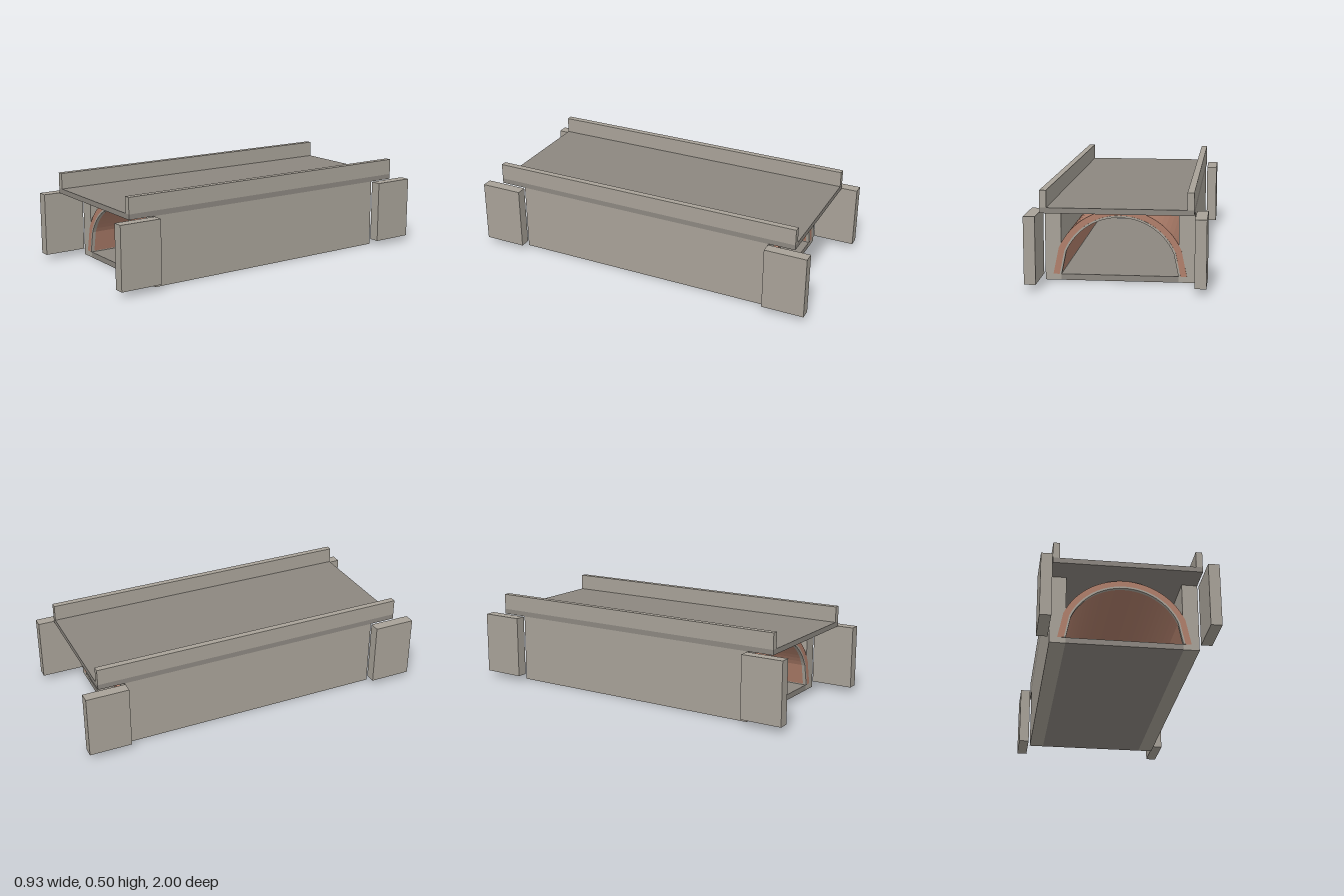
import * as THREE from 'three';

const stone = new THREE.MeshStandardMaterial({ color: 0xa8a298, flatShading: true });
const concrete = new THREE.MeshStandardMaterial({ color: 0x8c8780, flatShading: true });
const brick = new THREE.MeshStandardMaterial({ color: 0xb07f6b, flatShading: true });

const SPRING = 0.032;  // height where the arch starts
const BODY = 1.52;     // length of the tunnel body

// Box given by its min and max corners
function block(name, material, [x0, y0, z0], [x1, y1, z1]) {
  const geometry = new THREE.BoxGeometry(x1 - x0, y1 - y0, z1 - z0);
  const mesh = new THREE.Mesh(geometry, material);
  mesh.position.set((x0 + x1) / 2, (y0 + y1) / 2, (z0 + z1) / 2);
  mesh.name = name;
  return mesh;
}

// Half circle whose lowest stretch on each side is one straight facet
function archPoints(radius, steps = 28) {
  const start = THREE.MathUtils.degToRad(23.5);
  const points = [new THREE.Vector2(radius, 0)];
  for (let i = 0; i <= steps; i++) {
    const a = start + (Math.PI - 2 * start) * i / steps;
    points.push(new THREE.Vector2(radius * Math.cos(a), radius * Math.sin(a)));
  }
  points.push(new THREE.Vector2(-radius, 0));
  return points;
}

// Arch band between two radii, extruded along z and centred on z
function arch(name, material, inner, outer, length, z) {
  const shape = new THREE.Shape([...archPoints(outer), ...archPoints(inner).reverse()]);
  const geometry = new THREE.ExtrudeGeometry(shape, { depth: length, bevelEnabled: false });
  geometry.translate(0, SPRING, z - length / 2);
  const mesh = new THREE.Mesh(geometry, material);
  mesh.name = name;
  return mesh;
}

export function createModel() {
  const model = new THREE.Group();
  model.name = 'archBridge';
  const half = BODY / 2;

  // Floor and road deck
  model.add(block('floor', concrete, [-0.31, 0, -half], [0.31, SPRING, half]));
  model.add(block('deck', concrete, [-0.395, 0.386, -0.91], [0.395, 0.415, 0.91]));

  // Brick barrel vault
  model.add(arch('vault', brick, 0.311, 0.353, BODY + 0.004, 0));

  for (const side of [1, -1]) {
    const name = side > 0 ? 'left' : 'right';
    const span = (a, b) => side > 0 ? [a, b] : [-b, -a];

    // Abutment wall and parapet along each side
    const [w0, w1] = span(0.31, 0.395);
    model.add(block(name + 'Abutment', stone, [w0, 0, -half], [w1, 0.386, half]));
    const [p0, p1] = span(0.36, 0.395);
    model.add(block(name + 'Parapet', stone, [p0, 0.415, -0.91], [p1, 0.505, 0.91]));

    // Free-standing wing walls at both ends
    const [g0, g1] = span(0.403, 0.463);
    model.add(block(name + 'FrontWingWall', stone, [g0, SPRING, 0.76], [g1, 0.385, 1]));
    model.add(block(name + 'BackWingWall', stone, [g0, SPRING, -1], [g1, 0.385, -0.76]));
  }

  // Thin stone trim at both mouths of the vault
  model.add(arch('frontArchTrim', stone, 0.309, 0.32, 0.02, half - 0.006));
  model.add(arch('backArchTrim', stone, 0.309, 0.32, 0.02, -half + 0.006));

  return model;
}
